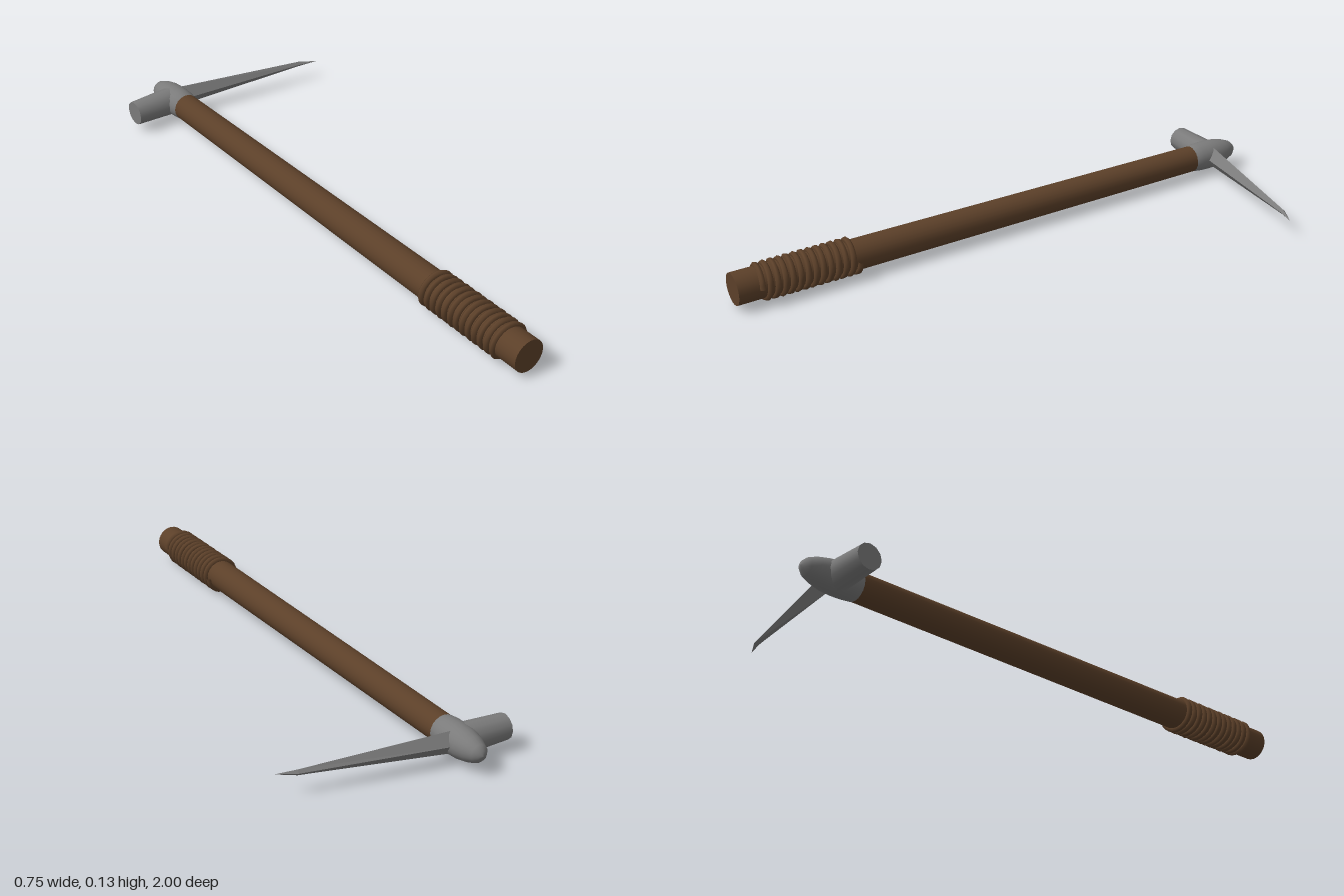
import * as THREE from 'three';

const AX = -0.205, AY = 0.067; // handle axis

export function createModel() {
  const group = new THREE.Group();
  const wood = new THREE.MeshStandardMaterial({ color: 0x5c4029 });
  wood.name = 'brown wood';
  const steel = new THREE.MeshStandardMaterial({ color: 0x7b7b7b });
  steel.name = 'grey steel';

  const add = (name, geometry, material) => {
    const mesh = new THREE.Mesh(geometry, material);
    mesh.name = name;
    group.add(mesh);
    return mesh;
  };

  // Long, slightly tapered handle
  const handle = new THREE.CylinderGeometry(0.055, 0.047, 1.87, 24);
  handle.rotateX(Math.PI / 2);
  add('handle', handle, wood).position.set(AX, AY, 0.065);

  // Cord wound around the grip
  const turns = 13, perTurn = 14, points = [];
  for (let i = 0; i <= turns * perTurn; i++) {
    const a = (i / perTurn) * Math.PI * 2;
    points.push(new THREE.Vector3(
      AX + Math.cos(a) * 0.056,
      AY - Math.sin(a) * 0.056,
      0.578 + 0.342 * i / (turns * perTurn)));
  }
  const cordPath = new THREE.CatmullRomCurve3(points);
  add('gripCord', new THREE.TubeGeometry(cordPath, turns * 24, 0.0105, 6, false), wood);

  // Rounded socket capping the handle
  const profile = [[0, -1], [0.016, -0.995], [0.03, -0.98], [0.042, -0.95],
    [0.05, -0.915], [0.053, -0.875], [0.052, -0.835], [0.0485, -0.805], [0.04, -0.795]]
    .map(([r, z]) => new THREE.Vector2(r, z));
  const socket = new THREE.LatheGeometry(profile, 20);
  socket.rotateX(Math.PI / 2);
  add('headSocket', socket, steel).position.set(AX, AY, 0);

  // Blunt hammer face
  const hammer = new THREE.CylinderGeometry(0.0425, 0.0495, 0.16, 12);
  hammer.rotateZ(Math.PI / 2);
  add('hammerFace', hammer, steel).position.set(-0.295, AY, -0.88);

  // Diamond-section spike: x, centre z, half height, half depth
  const sections = [[-0.205, -0.888, 0.04, 0.03], [0.31, -0.813, 0.0095, 0.009], [0.375, -0.79, 0, 0]];
  const corner = ([x, z, h, d], k) => {
    const a = k * Math.PI / 2;
    return [x, AY + 0.001 + Math.sin(a) * h, z + Math.cos(a) * d];
  };
  const verts = [];
  for (let s = 0; s < sections.length - 1; s++) {
    for (let k = 0; k < 4; k++) {
      const a = corner(sections[s], k), b = corner(sections[s], k + 1);
      const c = corner(sections[s + 1], k + 1), d = corner(sections[s + 1], k);
      verts.push(...a, ...d, ...b);
      if (s === 0) verts.push(...b, ...d, ...c);
    }
  }
  const spike = new THREE.BufferGeometry();
  spike.setAttribute('position', new THREE.Float32BufferAttribute(verts, 3));
  spike.computeVertexNormals();
  add('spike', spike, steel);

  return group;
}
